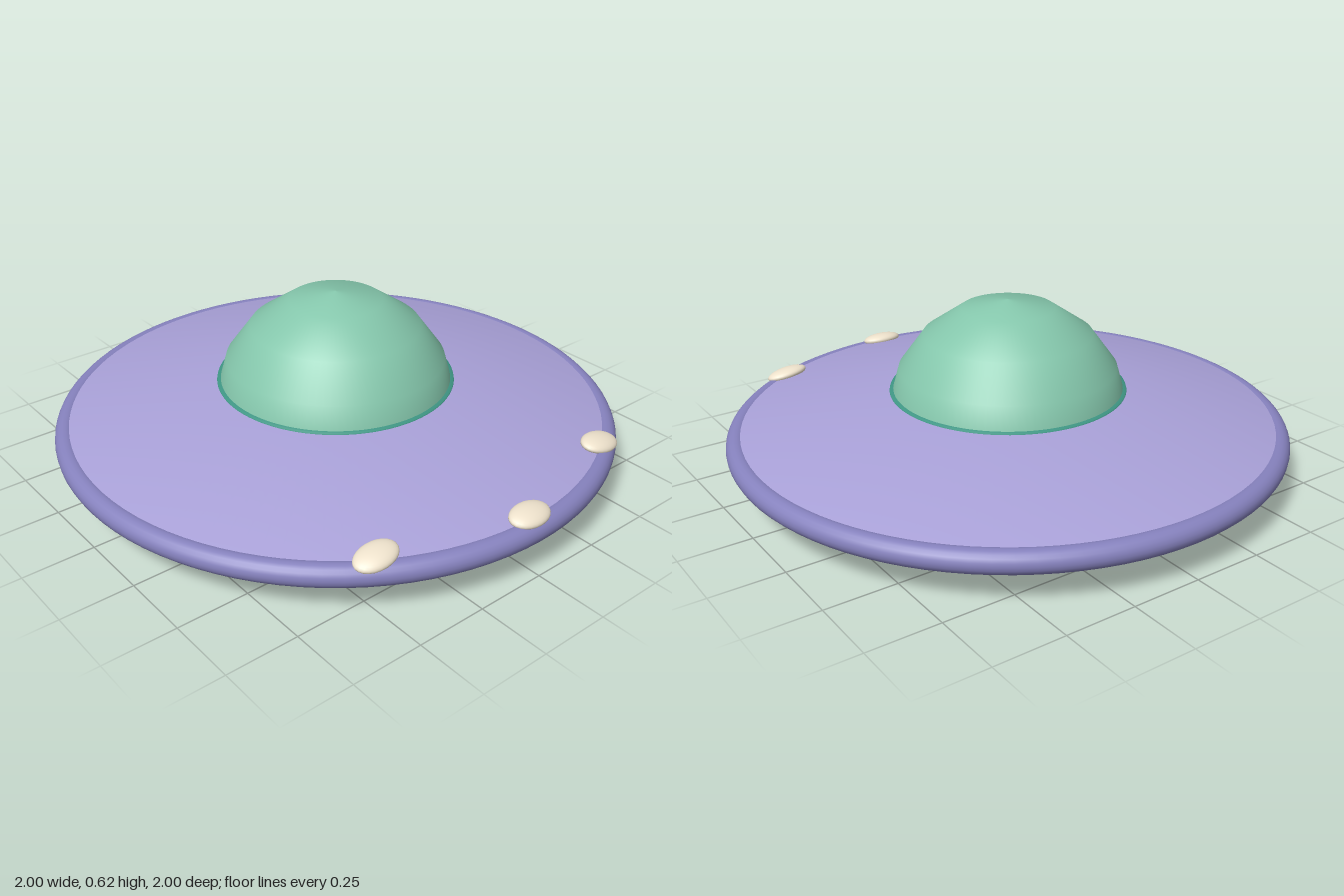
import * as THREE from 'three';

const SIDES = 96;

function part(name, geometry, color, parent) {
  const material = new THREE.MeshStandardMaterial({ color });
  const mesh = new THREE.Mesh(geometry, material);
  mesh.name = name;
  parent.add(mesh);
  return mesh;
}

// Profile of [radius, height] pairs, listed from bottom to top
function lathe(points) {
  return new THREE.LatheGeometry(points.map(([r, y]) => new THREE.Vector2(r, y)), SIDES);
}

export function createModel() {
  const saucer = new THREE.Group();
  saucer.name = 'flyingSaucer';

  // Shallow dark belly
  part('underside', lathe([[0, 0], [0.58, 0.004], [0.86, 0.05], [0.97, 0.113], [0.975, 0.15]]), 0x5c5872, saucer);

  // Sloping upper deck, closed beneath the dome
  part('upperHull', lathe([[0.95, 0.15], [0.95, 0.188], [0.41, 0.298], [0, 0.298]]), 0xa9a1d8, saucer);

  // Rounded outer rim
  const rim = part('rim', new THREE.TorusGeometry(0.96, 0.04, 20, SIDES), 0x8682be, saucer);
  rim.rotation.x = Math.PI / 2;
  rim.position.y = 0.15;

  // Faceted-profile dome with a thin seal at its foot
  part('dome', lathe([[0.412, 0.294], [0.388, 0.38], [0.3, 0.5], [0.165, 0.592], [0, 0.622]]), 0x85c7ac, saucer);
  part('domeSeal', lathe([[0.424, 0.292], [0.422, 0.3], [0.405, 0.302]]), 0x3f9684, saucer);

  // Three flattened lamps along the front edge, tipped to follow the slope
  const lamps = new THREE.Group();
  lamps.name = 'lamps';
  saucer.add(lamps);
  for (const side of [-1, 0, 1]) {
    const lamp = part('lamp', new THREE.SphereGeometry(1, 24, 16), 0xeee2cc, lamps);
    lamp.scale.set(0.079, 0.024, 0.052);
    lamp.position.set(side * 0.5, 0.197, side === 0 ? 0.94 : 0.8);
    lamp.rotation.set(0.2, 0, -side * 0.13);
  }

  return saucer;
}
